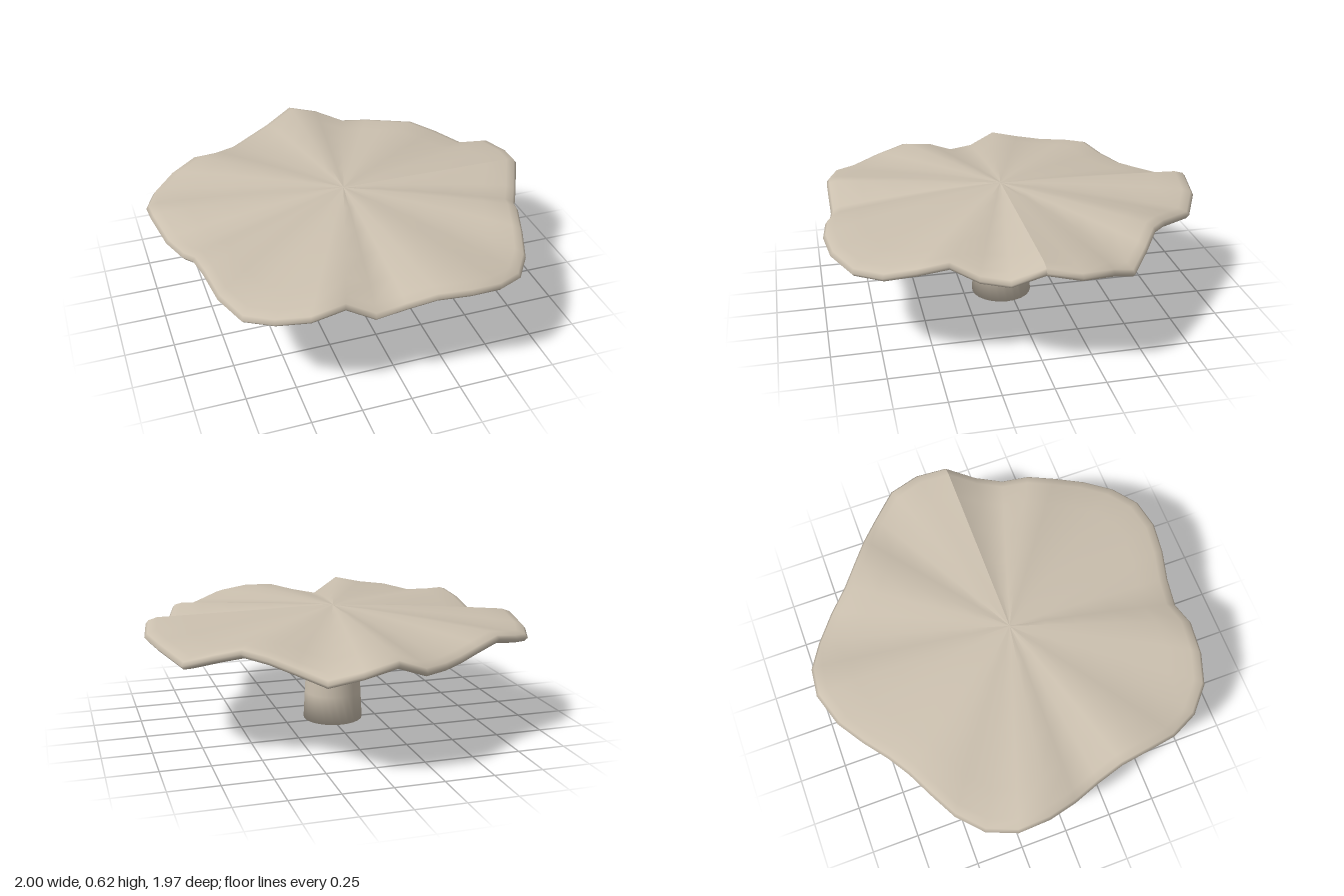
import * as THREE from 'three';

const clay = new THREE.MeshStandardMaterial({ color: 0xcabfae });
clay.name = 'pale clay';

const CENTER = { x: -0.02, z: 0.04 };
const SEGMENTS = 40;

// Height of the wavy rim at each step around the cap, from +x towards +z
const RIM = [
  0.59, 0.51, 0.51, 0.57, 0.53, 0.492, 0.488, 0.52, 0.54, 0.54,
  0.50, 0.47, 0.568, 0.53, 0.515, 0.49, 0.52, 0.56, 0.54, 0.48,
  0.48, 0.54, 0.50, 0.49, 0.52, 0.55, 0.52, 0.50, 0.50, 0.51,
  0.575, 0.53, 0.48, 0.52, 0.55, 0.57, 0.53, 0.48, 0.545, 0.56,
];

// Cap cross-section: [radius share, centre height, offset from the rim wave]
const SECTION = [
  [0, 0.625, 0.03], [0.2, 0.625, 0.03], [0.4, 0.625, 0.03], [0.6, 0.625, 0.03],
  [0.8, 0.625, 0.03], [0.94, 0.625, 0.03], [0.985, 0.61, 0.018], [1, 0.6, 0],
  [0.985, 0.59, -0.02], [0.93, 0.575, -0.035], [0.7, 0.575, -0.03],
  [0.4, 0.575, -0.03], [0, 0.575, -0.03],
];

function createCap() {
  const positions = [];
  const index = [];
  const columns = SEGMENTS + 1; // the last column repeats the first, leaving a crisp seam
  for (const [share, middle, offset] of SECTION) {
    const blend = Math.pow(share, 1.4);
    for (let i = 0; i < columns; i++) {
      const angle = (i / SEGMENTS) * Math.PI * 2;
      // Five soft lobes around the outline
      const radius = share * (0.963 + 0.073 * Math.cos(5 * angle - 1.625 * Math.PI));
      const rim = RIM[i % SEGMENTS] + offset;
      positions.push(
        CENTER.x + radius * Math.cos(angle),
        middle + (rim - middle) * blend,
        CENTER.z + radius * Math.sin(angle),
      );
    }
  }
  for (let j = 0; j < SECTION.length - 1; j++) {
    for (let i = 0; i < SEGMENTS; i++) {
      const a = j * columns + i;
      const b = a + columns;
      if (j < SECTION.length - 2) index.push(a, b + 1, b);
      if (j > 0) index.push(a, a + 1, b + 1);
      if (j === SECTION.length - 2) index.push(a, b + 1, b);
    }
  }
  const geometry = new THREE.BufferGeometry();
  geometry.setAttribute('position', new THREE.Float32BufferAttribute(positions, 3));
  geometry.setIndex(index);
  geometry.computeVertexNormals();
  const cap = new THREE.Mesh(geometry, clay);
  cap.name = 'cap';
  return cap;
}

function createStalk() {
  // Tapered stalk with a closed foot
  const profile = [[0, 0], [0.16, 0], [0.152, 0.15], [0.14, 0.35], [0.13, 0.5], [0.125, 0.59]]
    .map(([r, y]) => new THREE.Vector2(r, y));
  const stalk = new THREE.Mesh(new THREE.LatheGeometry(profile, 24), clay);
  stalk.position.set(CENTER.x, 0, CENTER.z);
  stalk.name = 'stalk';
  return stalk;
}

export function createModel() {
  const model = new THREE.Group();
  model.name = 'wavy mushroom';
  model.add(createCap(), createStalk());
  return model;
}
